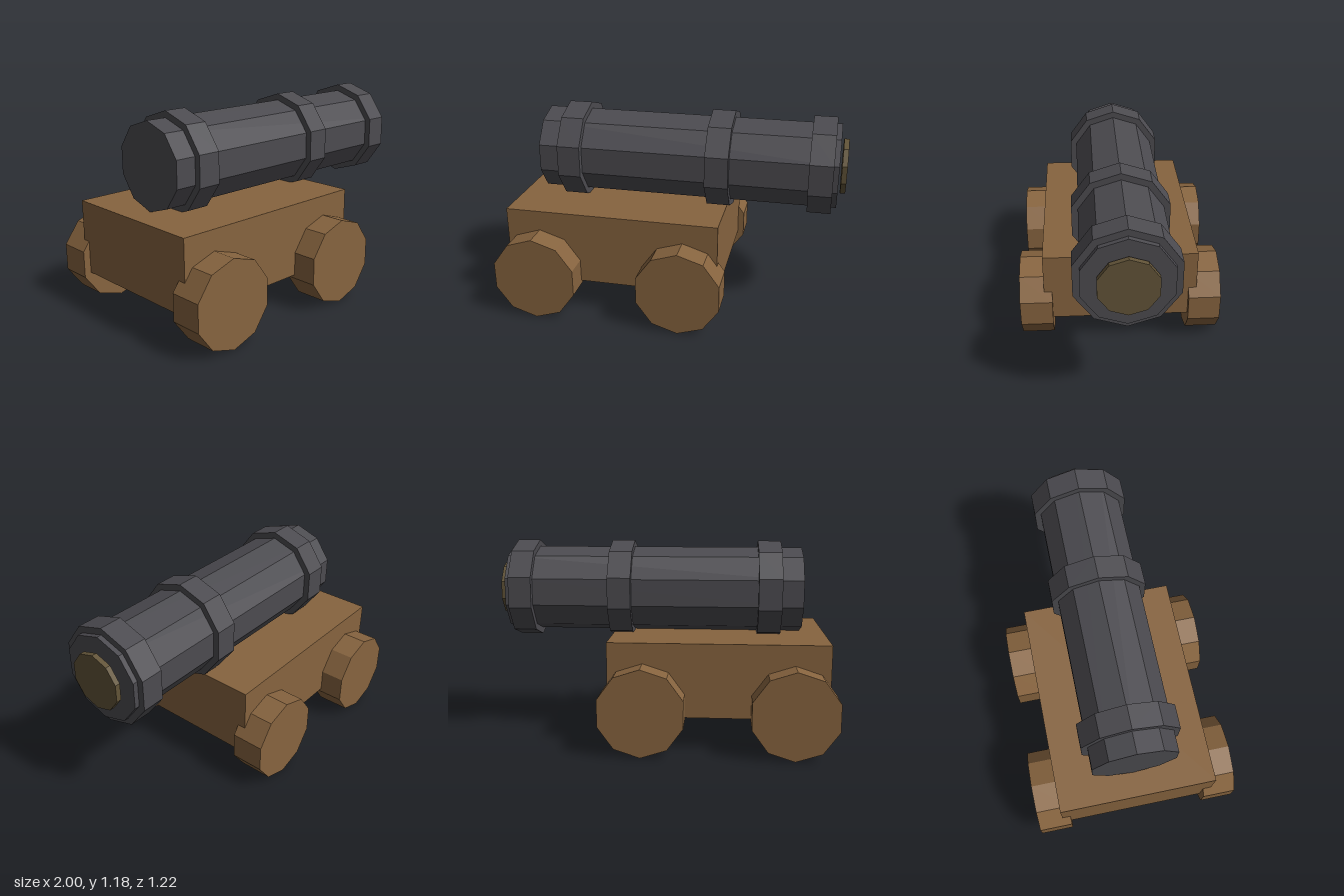
import * as THREE from 'three';

const SIDES = 10;

function material(name, color) {
  const m = new THREE.MeshStandardMaterial({ color, flatShading: true });
  m.name = name;
  return m;
}

export function createModel() {
  const wood = material('wood', 0x87643f);
  const iron = material('darkIron', 0x4c4b50);
  const bore = material('boreBrown', 0x625438);
  const model = new THREE.Group();
  model.name = 'cannon';

  const add = (parent, name, geometry, mat, x, y, z) => {
    const mesh = new THREE.Mesh(geometry, mat);
    mesh.name = name;
    mesh.position.set(x, y, z);
    parent.add(mesh);
  };

  // Ten-sided cylinder along x, with a corner at the top
  const barrelPart = (parent, name, radius, x0, x1, mat) => {
    const g = new THREE.CylinderGeometry(radius, radius, x1 - x0, SIDES, 1, false, Math.PI / 2);
    g.rotateZ(-Math.PI / 2);
    add(parent, name, g, mat, (x0 + x1) / 2, 0, 0);
  };

  // Carriage block
  add(model, 'carriage', new THREE.BoxGeometry(1.275, 0.434, 0.926), wood, -0.322, 0.417, 0);

  // Four wheels, partly sunk into the carriage sides
  const wheel = new THREE.CylinderGeometry(0.256, 0.256, 0.196, SIDES);
  wheel.rotateX(Math.PI / 2);
  for (const [end, x] of [['rear', -0.757], ['front', 0.11]]) {
    for (const [side, z] of [['Left', -0.512], ['Right', 0.512]]) {
      add(model, `${end}${side}Wheel`, wheel, wood, x, 0.258, z);
    }
  }

  // Barrel with three reinforcing bands and the bore disc at the muzzle
  const barrel = new THREE.Group();
  barrel.name = 'barrel';
  barrel.position.y = 0.89;
  model.add(barrel);
  barrelPart(barrel, 'tube', 0.256, -0.816, 0.955, iron);
  barrelPart(barrel, 'breechBand', 0.295, -0.69, -0.552, iron);
  barrelPart(barrel, 'middleBand', 0.295, 0.198, 0.336, iron);
  barrelPart(barrel, 'muzzleBand', 0.295, 0.79, 0.926, iron);
  barrelPart(barrel, 'bore', 0.167, 0.97, 1, bore);

  return model;
}
